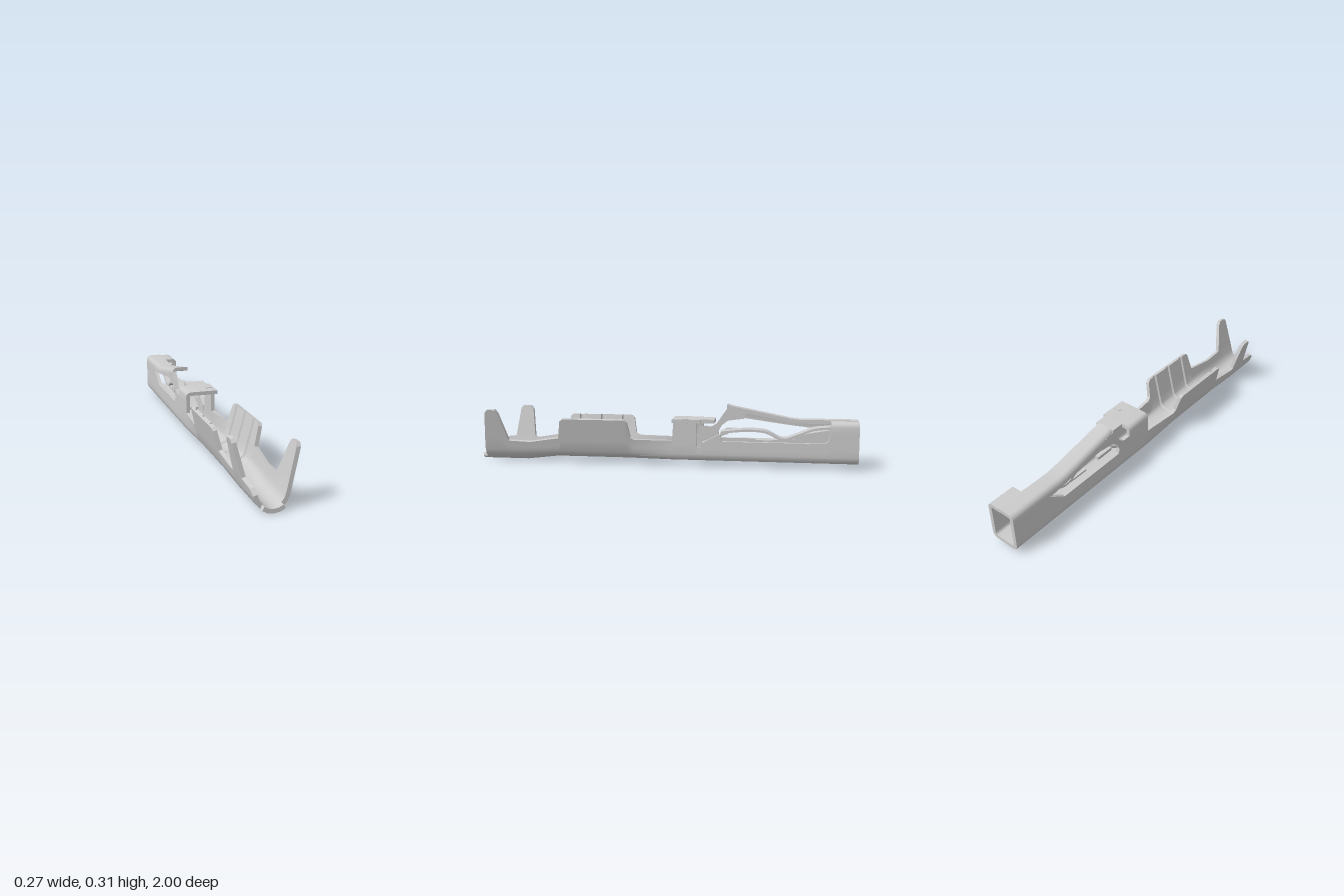
import * as THREE from 'three';
import { toCreasedNormals } from 'three/addons/utils/BufferGeometryUtils.js';

const metal = new THREE.MeshStandardMaterial({ color: 0xcccccc });
const lerp = THREE.MathUtils.lerp;

// piecewise linear value at z, keys run from front (+z) to back
function at(keys, z) {
  if (z >= keys[0][0]) return keys[0][1];
  for (let i = 1; i < keys.length; i++) {
    const [z0, v0] = keys[i - 1], [z1, v1] = keys[i];
    if (z >= z1) return lerp(v0, v1, (z0 - z) / (z0 - z1));
  }
  return keys[keys.length - 1][1];
}

// offset an open path to its left by t
function offset(path, t) {
  const normal = (a, b) => {
    const dx = b[0] - a[0], dy = b[1] - a[1], l = Math.hypot(dx, dy) || 1;
    return [-dy / l, dx / l];
  };
  return path.map((p, i) => {
    const m = normal(path[Math.max(i - 1, 0)], path[Math.max(i, 1)]);
    const last = path.length - 1;
    const n = normal(path[Math.min(i, last - 1)], path[Math.min(i + 1, last)]);
    const k = t / Math.max(0.4, 1 + m[0] * n[0] + m[1] * n[1]);
    return [p[0] + (m[0] + n[0]) * k, p[1] + (m[1] + n[1]) * k];
  });
}

// sheet metal loft: open x/y sections thickened to the left, along descending z
function sheet(name, stations, section, thick = () => 0.02) {
  const rings = stations.map((z) => {
    const outer = section(z);
    return [...outer, ...offset(outer, thick(z)).reverse()].map(([x, y]) => [x, y, z]);
  });
  const pos = [];
  const quad = (a, b, c, d) => pos.push(...a, ...b, ...c, ...a, ...c, ...d);
  const n = rings[0].length;
  for (let s = 0; s < rings.length - 1; s++) {
    const a = rings[s], b = rings[s + 1];
    for (let i = 0; i < n; i++) {
      const j = (i + 1) % n;
      quad(a[i], b[i], b[j], a[j]);
    }
  }
  const f = rings[0], r = rings[rings.length - 1];
  for (let i = 0; i < n / 2 - 1; i++) {
    const k = n - 1 - i;
    quad(f[i], f[i + 1], f[k - 1], f[k]);
    quad(r[i], r[k], r[k - 1], r[i + 1]);
  }
  const g = new THREE.BufferGeometry();
  g.setAttribute('position', new THREE.Float32BufferAttribute(pos, 3));
  return part(name, toCreasedNormals(g, 0.6));
}

function part(name, geometry) {
  const m = new THREE.Mesh(geometry, metal);
  m.name = name;
  return m;
}

function block(name, x0, x1, y0, y1, z0, z1) {
  const g = new THREE.BoxGeometry(x1 - x0, y1 - y0, z1 - z0);
  return part(name, g.translate((x0 + x1) / 2, (y0 + y1) / 2, (z0 + z1) / 2));
}

// wall heights along the body; the front wings are staggered
const core = [[0.72, 0.105], [0.56, 0.13], [0.545, 0.222], [0.53, 0.235], [0.2, 0.235],
  [0.185, 0.222], [0.17, 0.142], [0.15, 0.13], [-0.05, 0.13]];
const leftTop = [[0.975, 0.075], [0.955, 0.262], [0.94, 0.278], [0.9, 0.278], [0.885, 0.26], [0.84, 0.11],
  ...core, [-0.056, 0.226], [-0.174, 0.226], [-0.18, 0.1], [-0.2, 0.09], [-0.205, 0.12],
  [-0.29, 0.165], [-0.3, 0.165], [-0.31, 0.13], [-0.83, 0.13], [-0.85, 0.145], [-0.86, 0.19], [-1, 0.19]];
const rightTop = [[0.975, 0.075], [0.95, 0.1], [0.855, 0.11], [0.835, 0.262], [0.82, 0.278], [0.78, 0.278],
  [0.765, 0.26], [0.745, 0.11], ...core, [-0.056, 0.2], [-0.2, 0.19], [-0.206, 0.13],
  [-0.68, 0.13], [-0.78, 0.2], [-1, 0.2]];

// cross-section: rounded U at the front turning into a square channel
const roundHalf = [[0, 0], [0.028, 0.004], [0.052, 0.017], [0.07, 0.036], [0.08, 0.06]];
const squareHalf = [[0, 0.025], [0.05, 0.025], [0.066, 0.029], [0.076, 0.039], [0.08, 0.06]];
const squareness = [[0.19, 0], [-0.05, 1]];
const floorRise = [[0.75, 0], [0.58, 0.022]];

function half(z) {
  const s = at(squareness, z), y0 = at(floorRise, z);
  return roundHalf.map(([x, y], i) => [
    lerp(x, squareHalf[i][0], s),
    lerp(y0 + y * (1 - y0 / 0.06), squareHalf[i][1], s)]);
}

function wall(z, top) {
  const slope = 0.25 * (1 - at(squareness, z));
  return [1, 2, 3].map((k) => {
    const y = lerp(0.06, top, k / 3);
    return [0.08 + slope * (y - 0.06), y];
  });
}

const mirror = (pts) => pts.map(([x, y]) => [-x, y]).reverse();

function bodySection(z) {
  const h = half(z);
  return [...mirror([...h.slice(1), ...wall(z, at(rightTop, z))]), ...h, ...wall(z, at(leftTop, z))];
}

// roof edge on the right (-x): flat top, bent corner, short flange
const bentRoof = (x, top, low) => [[x, top], [-0.055, top], [-0.067, top - 0.003],
  [-0.077, top - 0.013], [-0.08, top - 0.025], [-0.08, low]];

export function createModel() {
  const g = new THREE.Group();
  g.name = 'crimpTerminal';

  // body with crimp wings, and three pressed grooves inside the wire barrel
  const grooves = [0.24, 0.36, 0.48];
  const grooveZ = grooves.flatMap((z) => [z + 0.014, z + 0.008, z - 0.008, z - 0.014]);
  const stations = [...new Set([...leftTop, ...rightTop, ...floorRise, ...squareness]
    .map((k) => k[0]).concat(grooveZ))].sort((a, b) => b - a);
  g.add(sheet('body', stations, bodySection,
    (z) => (grooves.some((c) => Math.abs(z - c) < 0.01) ? 0.012 : 0.02)));

  // carrier lip at the front
  const lip = half(1).slice(0, 3);
  g.add(sheet('frontLip', [1, 0.97], () => [...mirror(lip.slice(1)), ...lip]));

  // strap folded over the middle
  g.add(sheet('strap', [-0.05, -0.2], () => bentRoof(0.095, 0.243, 0.13)));
  g.add(block('strapTongue', -0.03, 0.08, 0.223, 0.243, -0.27, -0.2));
  g.add(block('strapTab', 0.05, 0.085, 0.215, 0.246, -0.13, -0.105));

  // arm rising from the right wall into the locking lance
  const arm = new THREE.Shape([[-0.2, 0.11], [-0.2, 0.19], [-0.245, 0.19], [-0.27, 0.205], [-0.3, 0.25],
    [-0.33, 0.292], [-0.43, 0.265], [-0.42, 0.235], [-0.33, 0.222], [-0.295, 0.195], [-0.28, 0.16],
    [-0.29, 0.11]].map(([z, y]) => new THREE.Vector2(-z, y)));
  const armGeo = new THREE.ExtrudeGeometry(arm, { depth: 0.02, bevelEnabled: false });
  armGeo.rotateY(Math.PI / 2).translate(-0.08, 0, 0);
  g.add(part('lanceArm', armGeo));

  // locking lance running back into the rear roof
  const lanceTop = [[-0.33, 0.315], [-0.36, 0.306], [-0.66, 0.247], [-0.7, 0.243], [-1, 0.243]];
  const lanceLow = [[-0.33, 0.25], [-0.66, 0.205], [-0.75, 0.195], [-1, 0.195]];
  g.add(sheet('lockingLance', [-0.33, -0.36, -0.45, -0.55, -0.66, -0.7, -0.75, -1],
    (z) => bentRoof(0.008, at(lanceTop, z), at(lanceLow, z))));

  // left half of the rear roof
  g.add(sheet('rearRoof', [-0.86, -1], () => [[0.08, 0.185], [0.08, 0.215], [0.077, 0.227],
    [0.067, 0.237], [0.055, 0.24], [0.005, 0.24]]));

  // contact springs inside the socket
  const spring = (name, w, keys, t) => {
    const curve = new THREE.CatmullRomCurve3(keys.map(([z, y]) => new THREE.Vector3(0, y, z)));
    const pts = curve.getPoints(keys.length * 5).map((p) => [p.z, p.y]);
    g.add(sheet(name, pts.map((p) => p[0]), (z) => [[-w, at(pts, z)], [w, at(pts, z)]], () => t));
  };
  spring('upperSpring', 0.04, [[-0.3, 0.165], [-0.43, 0.178], [-0.53, 0.172], [-0.62, 0.135],
    [-0.7, 0.16], [-0.78, 0.19], [-0.9, 0.2]], 0.012);
  spring('lowerSpring', 0.034, [[-0.2, 0.1], [-0.24, 0.115], [-0.3, 0.15], [-0.34, 0.165]], 0.012);
  spring('rearSpring', 0.034, [[-0.48, 0.125], [-0.6, 0.13], [-0.75, 0.165], [-0.86, 0.185]], 0.01);
  g.add(block('springRoot', -0.062, -0.03, 0.168, 0.185, -0.42, -0.32));
  g.add(block('rearSpringRoot', -0.062, 0.062, 0.19, 0.21, -0.92, -0.86));
  return g;
}
